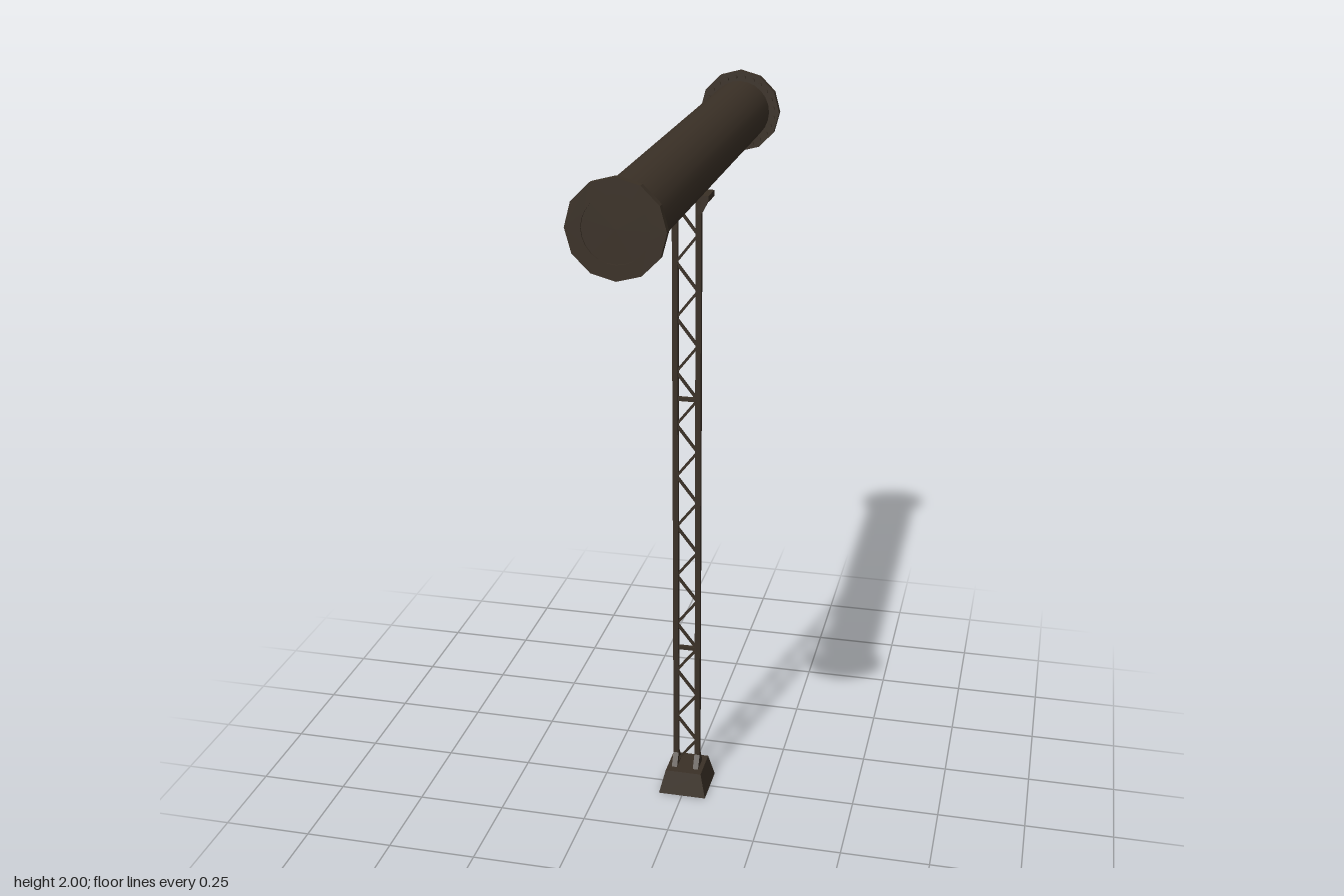
import * as THREE from 'three';

export function createModel() {
  const model = new THREE.Group();
  const steel = new THREE.MeshStandardMaterial({ color: 0x3a3026 });
  steel.name = 'dark brown steel';

  function add(name, geometry, x = 0, y = 0, z = 0, parent = model) {
    const mesh = new THREE.Mesh(geometry, steel);
    mesh.name = name;
    mesh.position.set(x, y, z);
    parent.add(mesh);
    return mesh;
  }
  const box = (w, h, d) => new THREE.BoxGeometry(w, h, d);
  // flat plate outlined in x/y, centred on z
  function plate(points, depth) {
    const shape = new THREE.Shape(points.map(([x, y]) => new THREE.Vector2(x, y)));
    return new THREE.ExtrudeGeometry(shape, { depth, bevelEnabled: false }).translate(0, 0, -depth / 2);
  }

  // Horizontal pipe
  const axisY = 1.882;
  add('pipe', new THREE.CylinderGeometry(0.088, 0.088, 1.4, 24).rotateX(Math.PI / 2), 0, axisY, 0);

  // End flanges: twelve-sided ring, slightly recessed cap, bolts on the inner side
  for (const side of [1, -1]) {
    const end = new THREE.Group();
    end.name = side > 0 ? 'frontFlange' : 'backFlange';
    end.position.set(0, axisY, side * 0.7);
    if (side < 0) end.rotation.y = Math.PI;
    model.add(end);

    const ring = new THREE.Shape();
    for (let i = 0; i < 12; i++) {
      const a = (i * Math.PI) / 6;
      const x = 0.118 * Math.cos(a), y = 0.118 * Math.sin(a);
      if (i) ring.lineTo(x, y); else ring.moveTo(x, y);
    }
    ring.holes.push(new THREE.Path().absarc(0, 0, 0.08, 0, Math.PI * 2, true));
    add('flangeRing', new THREE.ExtrudeGeometry(ring, { depth: 0.02, bevelEnabled: false, curveSegments: 12 }), 0, 0, -0.01, end);
    add('endCap', new THREE.CylinderGeometry(0.082, 0.082, 0.012, 24).rotateX(Math.PI / 2), 0, 0, 0, end);
    for (let i = 0; i < 24; i++) {
      const a = ((i + 0.5) * Math.PI) / 12;
      add('bolt', new THREE.CylinderGeometry(0.006, 0.006, 0.01, 6).rotateX(Math.PI / 2),
        0.1 * Math.cos(a), 0.1 * Math.sin(a), -0.0135, end);
    }
  }

  // Saddle under the pipe
  add('saddlePlate', box(0.13, 0.016, 0.07), 0, 1.795, 0);
  add('saddleWeb', box(0.07, 0.03, 0.03), 0, 1.8, 0);

  // Mast chords with gussets at head and foot
  for (const s of [1, -1]) {
    add(s > 0 ? 'leftChord' : 'rightChord', box(0.015, 1.73, 0.016), s * 0.032, 0.925, 0);
    const head = [[0.03, 1.745], [0.038, 1.745], [0.062, 1.79], [0.03, 1.79]];
    add('headGusset', plate(head.map(([x, y]) => [s * x, y]), 0.016));
    const foot = plate([[-0.03, 0.068], [0.03, 0.068], [0.008, 0.108], [-0.008, 0.108]], 0.016);
    add('footGusset', foot.rotateY(Math.PI / 2), s * 0.032, 0, 0);
  }

  // Zigzag lacing between the chords
  const step = 0.0768, half = 0.03;
  const length = Math.hypot(2 * half, step);
  for (let i = 0; i < 22; i++) {
    const lacing = add('lacing', box(0.007, length, 0.007), 0, 0.077 + (i + 0.5) * step, 0);
    lacing.rotation.z = (i % 2 ? 1 : -1) * Math.atan2(2 * half, step);
  }
  for (const i of [5, 15]) add('crossBar', box(0.06, 0.01, 0.012), 0, 0.077 + i * step, 0);

  // Square tapered footing
  const footing = new THREE.CylinderGeometry(0.053 * Math.SQRT2, 0.07 * Math.SQRT2, 0.07, 4)
    .rotateY(Math.PI / 4).toNonIndexed();
  footing.computeVertexNormals();
  add('footing', footing, 0, 0.035, 0);

  return model;
}
